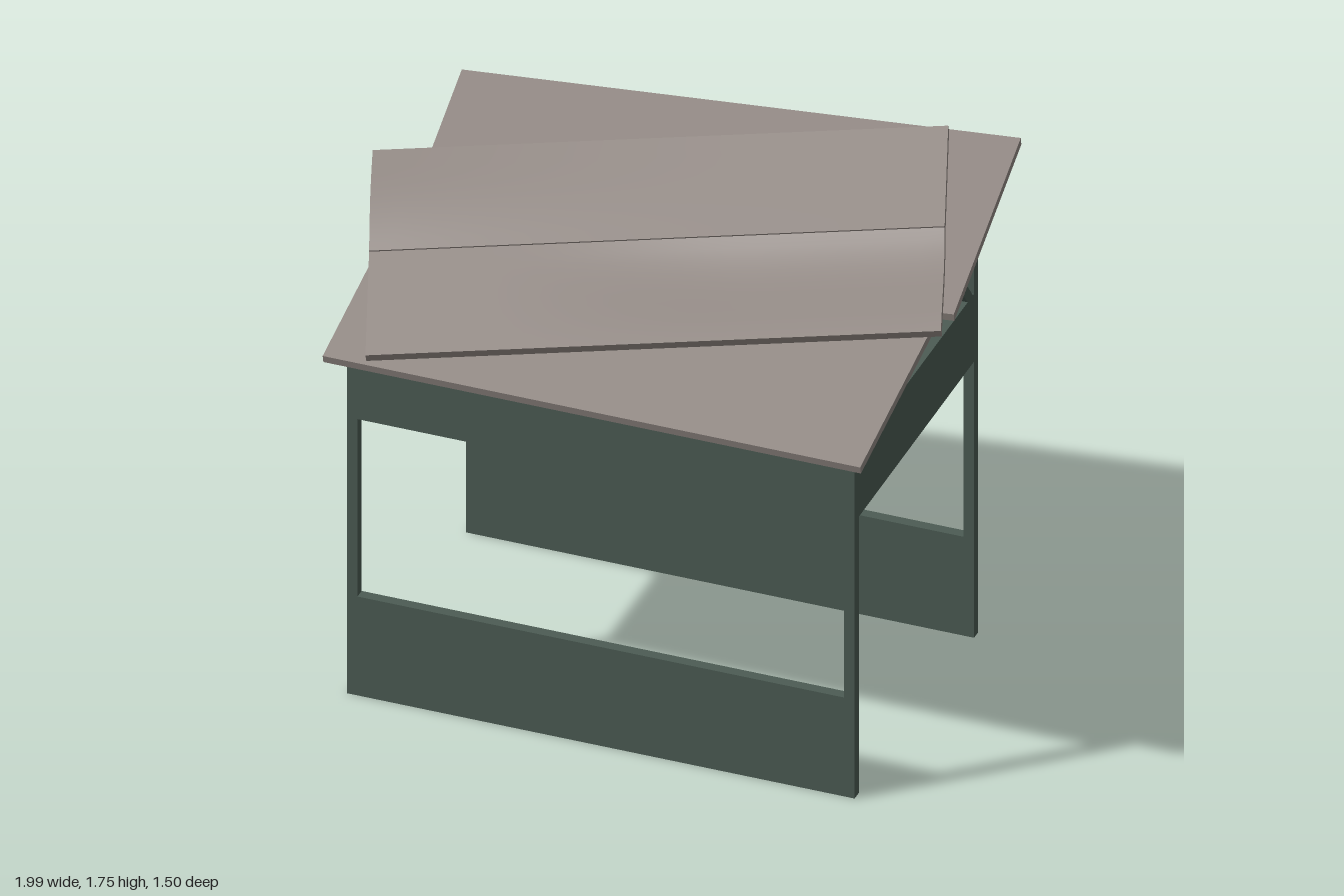
import * as THREE from 'three';

export function createModel() {
  const green = new THREE.MeshStandardMaterial({ color: 0x4c5c54 });
  green.name = 'green painted frame';
  const grey = new THREE.MeshStandardMaterial({ color: 0x938a85 });
  grey.name = 'grey roof board';

  const model = new THREE.Group();
  model.name = 'marketStall';
  const frame = new THREE.Group();
  frame.name = 'frame';
  const roof = new THREE.Group();
  roof.name = 'roof';
  model.add(frame, roof);

  const X0 = -0.83, X1 = 0.88, Z0 = -0.41, Z1 = 0.65, T = 0.036;

  function add(group, name, geometry, material) {
    const mesh = new THREE.Mesh(geometry, material);
    mesh.name = name;
    group.add(mesh);
    return mesh;
  }

  // Box given by its minimum and maximum corners
  function block(name, x0, x1, y0, y1, z0, z1) {
    const g = new THREE.BoxGeometry(x1 - x0, y1 - y0, z1 - z0);
    g.translate((x0 + x1) / 2, (y0 + y1) / 2, (z0 + z1) / 2);
    add(frame, name, g, green);
  }

  // Flat piece with a [z, y] outline, extruded from x to x + T
  function sidePiece(name, x, outline) {
    const shape = new THREE.Shape(outline.map(([z, y]) => new THREE.Vector2(z, y)));
    const g = new THREE.ExtrudeGeometry(shape, { depth: T, bevelEnabled: false });
    g.rotateY(-Math.PI / 2);
    g.translate(x + T, 0, 0);
    add(frame, name, g, green);
  }

  // Front and back panels
  for (const [end, z] of [['front', Z1 - T], ['back', Z0]]) {
    block(end + 'LowerPanel', X0 + T, X1 - T, 0, 0.365, z, z + T);
    block(end + 'UpperPanel', X0 + T, X1 - T, 1.02, 1.27, z, z + T);
  }

  // Posts, side panels, sloping rafters and braces
  for (const [side, x] of [['left', X1 - T], ['right', X0]]) {
    block(side + 'FrontPost', x, x + T, 0, 1.265, Z1 - T, Z1);
    block(side + 'BackPost', x, x + T, 0, 1.53, Z0, Z0 + T);
    block(side + 'SidePanel', x, x + T, 1.02, 1.27, Z0 + T, Z1 - T);
    sidePiece(side + 'Rafter', x, [[0.61, 1.265], [0.48, 1.265], [Z0 + T, 1.49], [Z0 + T, 1.525]]);
    sidePiece(side + 'Brace', x, [[-0.175, 1.45], [-0.32, 1.27], [-0.365, 1.27], [-0.215, 1.46]]);
  }

  // Board whose top spans P + u*U + v*V; rule(u, v) lifts it along its normal
  function board(name, P, U, V, v0 = 0, v1 = 1, rule = null, thick = 0.027) {
    const p = new THREE.Vector3(...P), a = new THREE.Vector3(...U), b = new THREE.Vector3(...V);
    const n = a.clone().cross(b).normalize();
    const g = rule ? new THREE.BoxGeometry(1, 1, 1, 24, 1, 10) : new THREE.BoxGeometry(1, 1, 1);
    const pos = g.attributes.position;
    const q = new THREE.Vector3();
    for (let i = 0; i < pos.count; i++) {
      const u = pos.getX(i) + 0.5;
      const v = v0 + (0.5 - pos.getZ(i)) * (v1 - v0);
      const lift = (pos.getY(i) - 0.5) * thick + (rule ? rule(u, v) : 0);
      q.copy(p).addScaledVector(a, u).addScaledVector(b, v).addScaledVector(n, lift);
      pos.setXYZ(i, q.x, q.y, q.z);
    }
    g.computeVertexNormals();
    add(roof, name, g, grey);
  }

  // Lower roof boards
  board('frontRoofBoard', [-0.88, 1.28, 0.73], [1.81, 0, 0], [0, 0.21, -0.82]);
  board('backRoofBoard', [-0.81, 1.447, 0.29], [1.8, 0.035, -0.21], [-0.1, 0.148, -0.83]);

  // Bent top board: two halves meeting at a crease
  const P = [-0.73, 1.325, 0.745], U = [1.72, 0.16, -0.555], V = [-0.27, 0.262, -0.75];
  board('topBoardFrontHalf', P, U, V, 0, 0.505, (u, v) => {
    const w = THREE.MathUtils.clamp((0.505 - v) / 0.505, 0, 1);
    return -0.02 * THREE.MathUtils.smoothstep(u, 0.2, 0.65) * 6.75 * w * (1 - w) ** 2;
  });
  board('topBoardBackHalf', P, U, V, 0.51, 1, (u, v) =>
    0.02 * (1 - u) ** 3 * Math.sin(Math.PI * (v - 0.51) / 0.49));

  return model;
}
